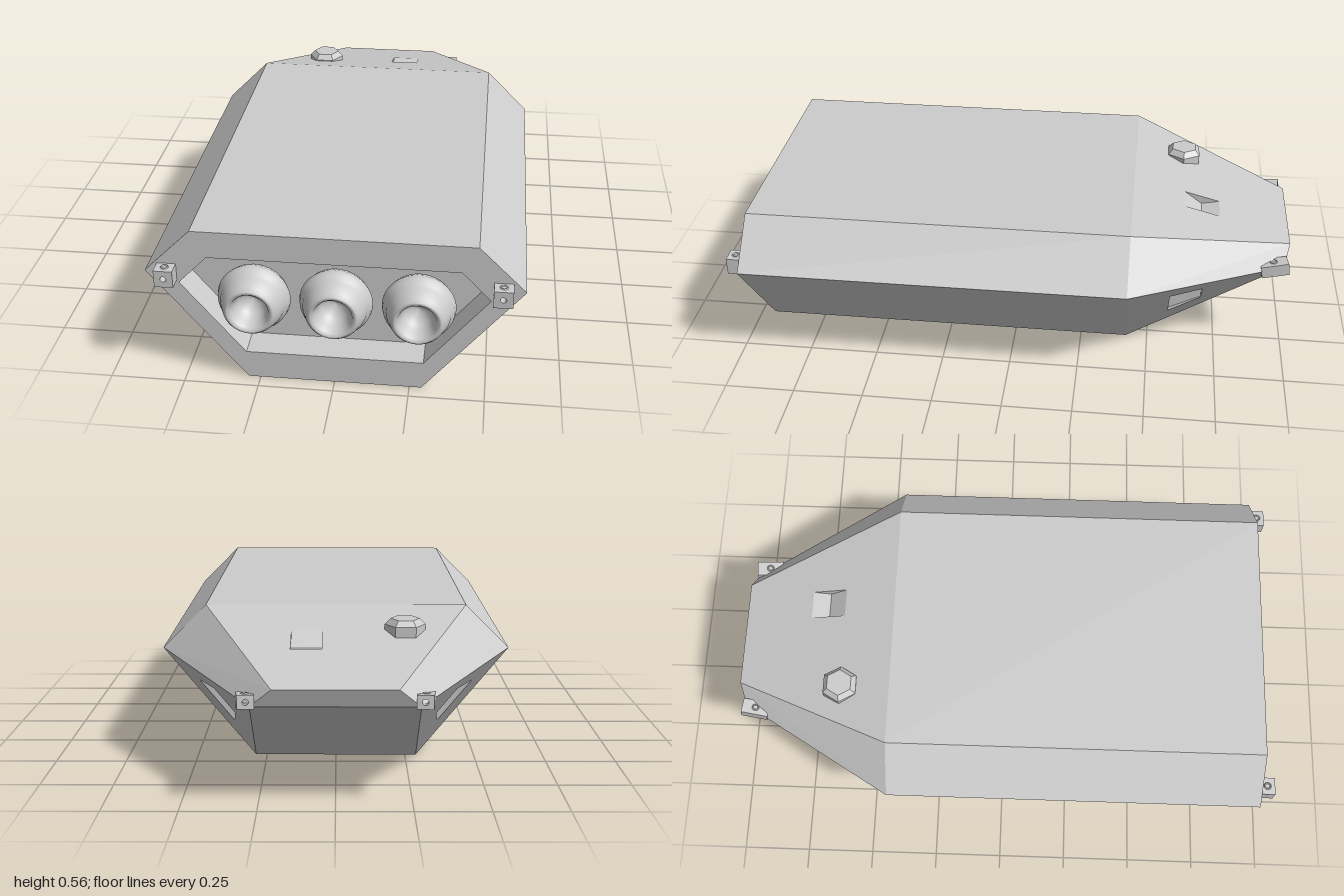
import * as THREE from 'three';

const grey = new THREE.MeshStandardMaterial({ color: 0xcccccc });
const flat = new THREE.MeshStandardMaterial({ color: 0xcccccc, flatShading: true, side: THREE.DoubleSide });
const V = (x, y, z) => new THREE.Vector3(x, y, z);
const HULL_CENTRE = V(0, 0.28, -0.1);

function add(parent, name, geometry, material = flat) {
  const mesh = new THREE.Mesh(geometry, material);
  mesh.name = name;
  parent.add(mesh);
  return mesh;
}

// Adds a triangle facing away from ref (or towards it when sign is -1)
function pushTri(out, a, b, c, ref, sign) {
  const n = b.clone().sub(a).cross(c.clone().sub(a));
  if (n.length() < 1e-8) return;
  const away = n.dot(a.clone().sub(ref)) * sign > 0;
  for (const p of away ? [a, b, c] : [a, c, b]) out.push(p.x, p.y, p.z);
}

// A flat hull plate, optionally with an opening whose walls run to the inner corners
function panel(outer, hole = [], inner = []) {
  const out = [];
  const n = outer[1].clone().sub(outer[0]).cross(outer[2].clone().sub(outer[0]));
  const [ax, ay, az] = [Math.abs(n.x), Math.abs(n.y), Math.abs(n.z)];
  const flatten = (p) => ax > ay && ax > az ? new THREE.Vector2(p.z, p.y)
    : ay > az ? new THREE.Vector2(p.x, p.z) : new THREE.Vector2(p.x, p.y);
  const all = [...outer, ...hole];
  const holes = hole.length ? [hole.map(flatten)] : [];
  for (const [a, b, c] of THREE.ShapeUtils.triangulateShape(outer.map(flatten), holes)) {
    pushTri(out, all[a], all[b], all[c], HULL_CENTRE, 1);
  }
  if (hole.length) {
    const mid = V(0, 0, 0);
    [...hole, ...inner].forEach((p) => mid.addScaledVector(p, 0.5 / hole.length));
    hole.forEach((p, i) => {
      const j = (i + 1) % hole.length;
      pushTri(out, p, hole[j], inner[j], mid, -1);
      pushTri(out, p, inner[j], inner[i], mid, -1);
      if (i > 0 && j > 0) pushTri(out, inner[0], inner[i], inner[j], mid, -1);
    });
  }
  const g = new THREE.BufferGeometry();
  g.setAttribute('position', new THREE.Float32BufferAttribute(out, 3));
  g.computeVertexNormals();
  return g;
}

// Closed hexagonal outline from its right-hand half, given bottom to top
const hexagon = (half, z) => [
  ...half.map(([x, y]) => V(x, y, z)),
  ...[...half].reverse().map(([x, y]) => V(-x, y, z)),
];

function hull() {
  const group = new THREE.Group();
  group.name = 'hull';
  const half = [[0.29, 0], [0.615, 0.4], [0.46, 0.555]];
  const rimHalf = [[0.295, 0.1], [0.505, 0.36], [0.41, 0.46]];
  const front = hexagon(half, 0.95);
  const rear = hexagon(half, -0.42);

  // Straight body
  front.forEach((p, i) => {
    const j = (i + 1) % 6;
    add(group, 'bodyPlate', panel([p, front[j], rear[j], rear[i]]));
  });
  // Front plate with the engine recess
  add(group, 'engineRecess', panel(front, hexagon(rimHalf, 0.95), hexagon(rimHalf, 0.84)));

  // Tapered nose
  const tipTop = [V(0.2, 0.4, -1), V(-0.2, 0.4, -1)];
  const tipLow = [V(0.27, 0.34, -0.98), V(-0.27, 0.34, -0.98)];
  const topY = (z) => 0.555 + (z + 0.42) * 0.155 / 0.58;
  const notch = [[0.045, -0.61], [0.15, -0.61], [0.15, -0.74], [0.045, -0.74]];
  add(group, 'noseTop', panel([rear[2], rear[3], tipTop[1], tipTop[0]],
    notch.map(([x, z]) => V(x, topY(z), z)),
    notch.map(([x]) => V(x, topY(-0.675) - 0.03, -0.675))));
  add(group, 'noseBottom', panel([rear[0], rear[5], tipLow[1], tipLow[0]]));
  add(group, 'noseTip', panel([tipTop[0], tipTop[1], tipLow[1], tipLow[0]]));

  // Nose sides, each with an open pocket
  const pocket = [[0.32, -0.57], [0.32, -0.685], [0.235, -0.685], [0.175, -0.57]];
  const sideX = (y, z) => 0.29 + 0.8125 * y + 0.529 * (z + 0.42);
  [1, -1].forEach((s, k) => {
    const [low, side, top] = s > 0 ? [rear[0], rear[1], rear[2]] : [rear[5], rear[4], rear[3]];
    add(group, 'noseShoulder', panel([top, side, tipLow[k], tipTop[k]]));
    add(group, 'noseSide', panel([low, side, tipLow[k]],
      pocket.map(([y, z]) => V(s * sideX(y, z), y, z)),
      pocket.map(([y, z]) => V(s * 0.335, y, z))));
  });
  return group;
}

// Bulbous nozzle with a rounded lip and a hollow throat
function engine() {
  const profile = [
    [0.085, 0.84], [0.112, 0.86], [0.122, 0.885], [0.118, 0.905], [0.107, 0.918],
    [0.105, 0.93], [0.098, 0.948], [0.089, 0.97], [0.08, 0.982], [0.072, 0.984],
    [0.064, 0.976], [0.055, 0.95], [0.045, 0.92], [0.025, 0.9], [0, 0.893],
  ].map(([r, z]) => new THREE.Vector2(r, z));
  return new THREE.LatheGeometry(profile, 40).rotateX(Math.PI / 2);
}

// Small block drilled along z, with a ring on its top and bottom
function lug(w, h, d) {
  const group = new THREE.Group();
  group.name = 'lug';
  const s = new THREE.Shape([[-w, -h], [w, -h], [w, h], [-w, h]].map(([x, y]) => new THREE.Vector2(x / 2, y / 2)));
  s.holes.push(new THREE.Path().absarc(0, 0, 0.01, 0, Math.PI * 2, true));
  add(group, 'lugBlock', new THREE.ExtrudeGeometry(s, { depth: d, bevelEnabled: false, curveSegments: 6 })
    .translate(0, 0, -d / 2));
  for (const y of [-h / 2, h / 2]) {
    add(group, 'lugRing', new THREE.TorusGeometry(0.011, 0.003, 4, 12).rotateX(Math.PI / 2).translate(0, y, 0));
  }
  return group;
}

export function createModel() {
  const model = new THREE.Group();
  model.name = 'pod';
  model.add(hull());

  // Three engines in the recess
  const nozzle = engine();
  for (const x of [-0.273, 0, 0.273]) add(model, 'engine', nozzle, grey).position.set(x, 0.278, 0);

  // Lugs at the front corners and on the nose
  for (const s of [1, -1]) {
    const frontLug = lug(0.062, 0.06, 0.055);
    frontLug.name = 'frontLug';
    frontLug.position.set(s * 0.542, 0.4, 0.9725);
    const noseLug = lug(0.055, 0.045, 0.1);
    noseLug.name = 'noseLug';
    noseLug.position.set(s * 0.287, 0.35, -0.942);
    noseLug.rotation.set(0.15, s * 0.12, 0);
    model.add(frontLug, noseLug);
  }

  // Hexagonal cap on the nose
  const cap = new THREE.Group();
  cap.name = 'hexCap';
  add(cap, 'capBase', new THREE.CylinderGeometry(0.069, 0.069, 0.07, 6).translate(0, 0.49, 0));
  add(cap, 'capBevel', new THREE.CylinderGeometry(0.05, 0.069, 0.02, 6).translate(0, 0.535, 0));
  cap.rotation.y = Math.PI / 2;
  cap.position.set(-0.235, 0, -0.605);
  model.add(cap);

  return model;
}
